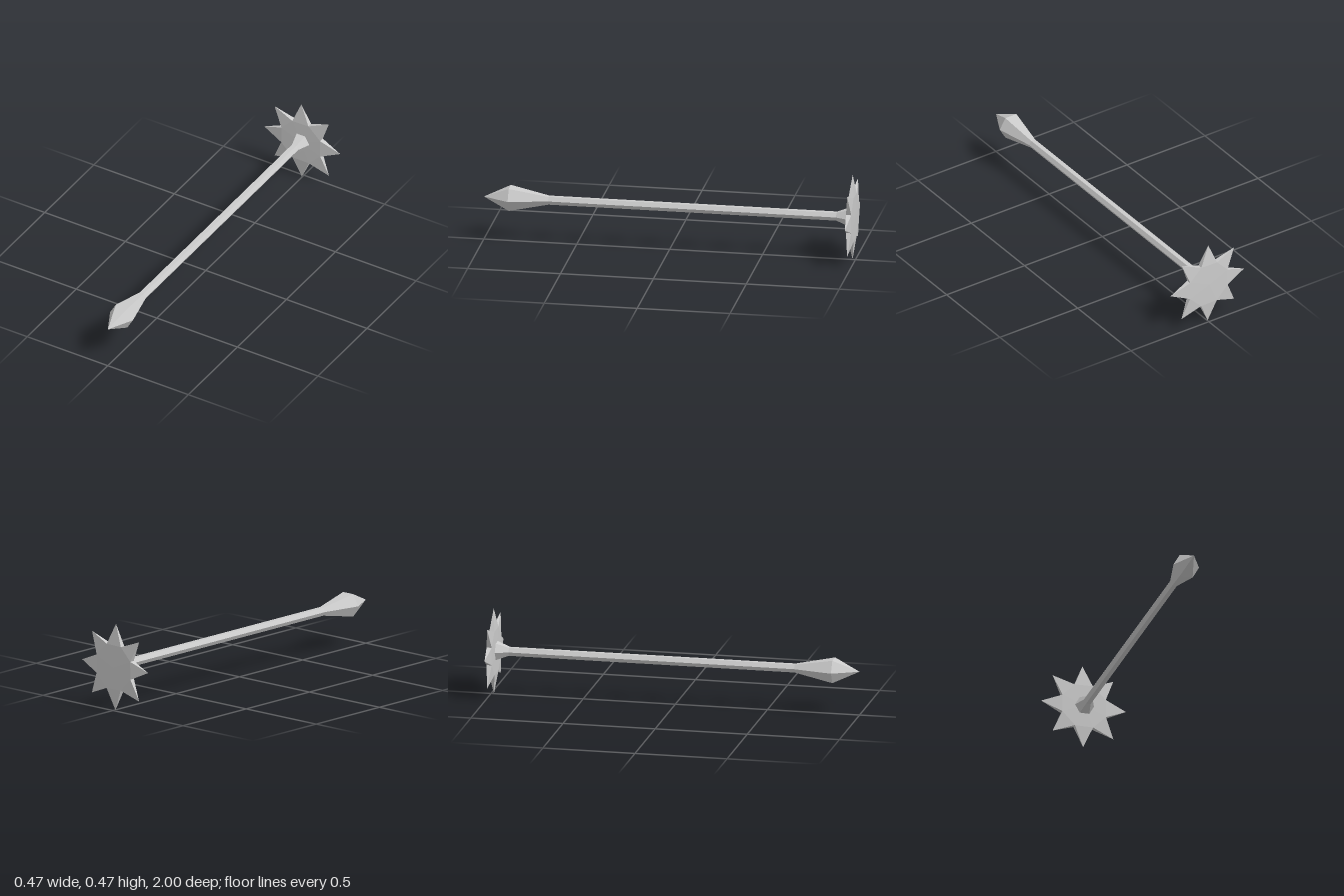
import * as THREE from 'three';

const AXIS_Y = 0.239;
const mat = new THREE.MeshStandardMaterial({ color: 0xcccccc, flatShading: true });

// Six-sided part turned about the z axis, from [radius, z] pairs running back to front
function hexTurned(name, profile) {
  const pts = profile.map(([r, z]) => new THREE.Vector2(r, z));
  const geo = new THREE.LatheGeometry(pts, 6, Math.PI / 2);
  geo.rotateX(Math.PI / 2);
  const mesh = new THREE.Mesh(geo, mat);
  mesh.name = name;
  mesh.position.y = AXIS_Y;
  return mesh;
}

// Eight-pointed star: flat core, spikes thinning to sharp tips, thin side walls
function starHead() {
  const angles = [0.6, 45.7, 91.5, 136.6, 178.8, 223.4, 269.5, 314.8];
  const tipR = 0.236, valleyR = 0.13, half = 0.014;
  const at = (deg, r, z) => {
    const a = THREE.MathUtils.degToRad(deg);
    return [r * Math.cos(a), r * Math.sin(a), z];
  };
  const pos = [];
  const tri = (a, b, c) => pos.push(...a, ...b, ...c);
  angles.forEach((deg, i) => {
    const next = i < 7 ? angles[i + 1] : angles[0] + 360;
    const prev = i > 0 ? angles[i - 1] : angles[7] - 360;
    const right = (deg + prev) / 2, left = (deg + next) / 2;
    const tip = at(deg, tipR, 0);
    const rf = at(right, valleyR, half), rb = at(right, valleyR, -half);
    const lf = at(left, valleyR, half), lb = at(left, valleyR, -half);
    const cf = [0, 0, half + 0.002], cb = [0, 0, -half - 0.002];
    tri(cf, rf, lf); // core front
    tri(cb, lb, rb); // core back
    tri(rf, tip, lf); // spike front
    tri(lb, tip, rb); // spike back
    tri(rb, tip, rf); // spike walls
    tri(lf, tip, lb);
  });
  const geo = new THREE.BufferGeometry();
  geo.setAttribute('position', new THREE.Float32BufferAttribute(pos, 3));
  geo.computeVertexNormals();
  const mesh = new THREE.Mesh(geo, mat);
  mesh.name = 'starHead';
  mesh.position.set(-0.001, AXIS_Y - 0.002, -0.984);
  return mesh;
}

export function createModel() {
  const model = new THREE.Group();
  model.name = 'starWand';
  model.add(
    hexTurned('shaft', [[0.025, -0.9], [0.025, 0.65]]),
    hexTurned('pommel', [[0.025, 0.65], [0.071, 0.86], [0, 1]]),
    hexTurned('headCollar', [[0, -0.975], [0.054, -0.972], [0.025, -0.9]]),
    starHead()
  );
  return model;
}
